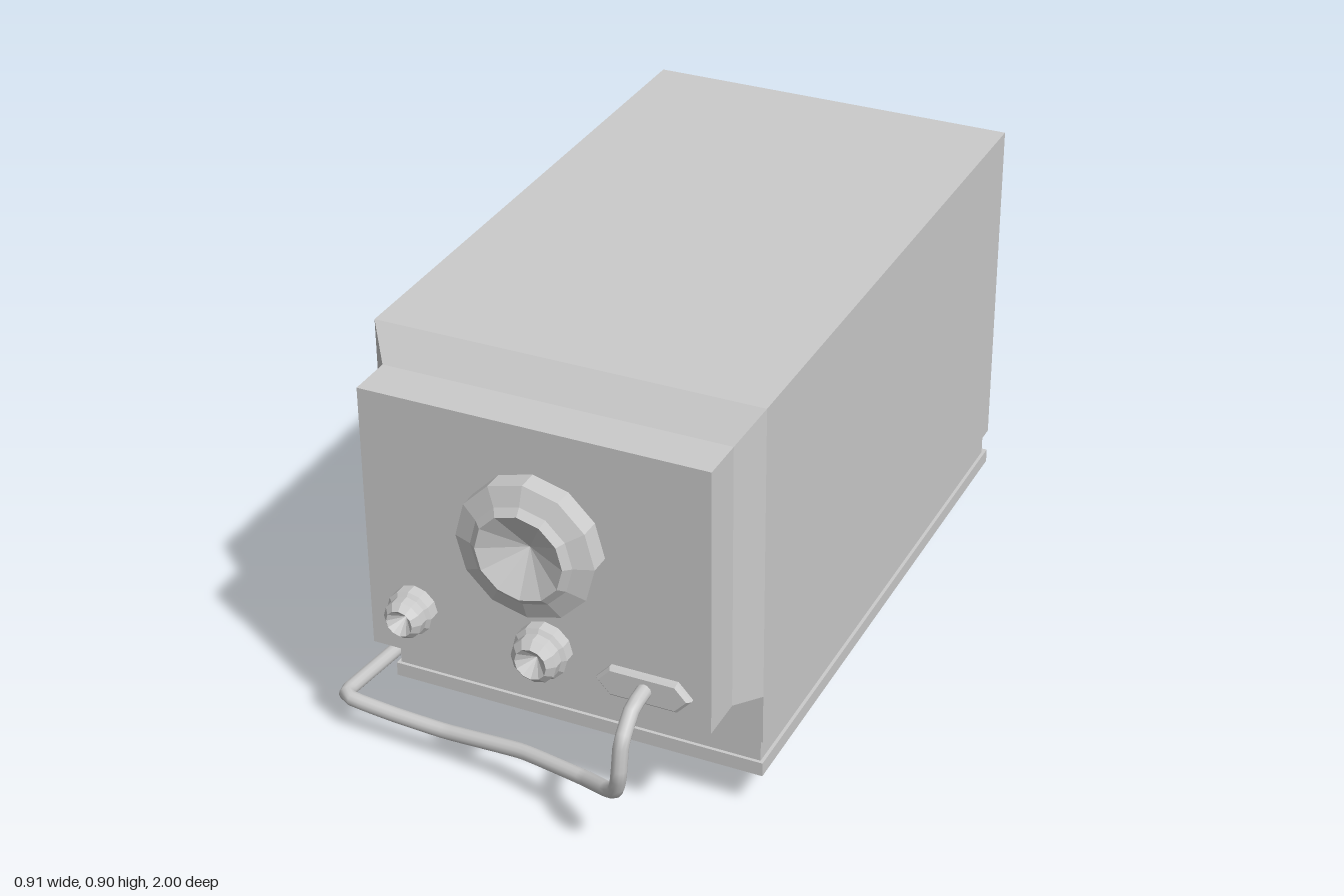
import * as THREE from 'three';

export function createModel() {
  const model = new THREE.Group();
  const mat = new THREE.MeshStandardMaterial({ color: 0xcccccc, flatShading: true });
  const smooth = new THREE.MeshStandardMaterial({ color: 0xcccccc });

  const add = (name, geo, material = mat) => {
    const mesh = new THREE.Mesh(geo, material);
    mesh.name = name;
    model.add(mesh);
    return mesh;
  };
  // Box given by its lower and upper corners
  const box = (name, x0, x1, y0, y1, z0, z1) => {
    const geo = new THREE.BoxGeometry(x1 - x0, y1 - y0, z1 - z0);
    geo.translate((x0 + x1) / 2, (y0 + y1) / 2, (z0 + z1) / 2);
    return add(name, geo);
  };

  // Cabinet on a base with a narrow recessed gap
  box('cabinet', -0.35, 0.45, 0.17, 0.905, -0.55, 0.72);
  box('baseGap', -0.343, 0.443, 0.12, 0.17, -0.535, 0.713);
  box('base', -0.35, 0.45, 0.09, 0.12, -0.55, 0.72);

  // Bevelled shoulder: front edge drawn in at the sides and top only
  const shoulder = box('frontBevel', -0.35, 0.45, 0.277, 0.905, 0.72, 0.77);
  const p = shoulder.geometry.attributes.position;
  for (let i = 0; i < p.count; i++) {
    if (p.getZ(i) < 0.75) continue;
    p.setX(i, p.getX(i) < 0 ? -0.308 : 0.408);
    if (p.getY(i) > 0.5) p.setY(i, 0.843);
  }
  shoulder.geometry.computeVertexNormals();
  box('frontPanel', -0.308, 0.408, 0.277, 0.843, 0.77, 0.865);

  // Round fittings with a dished face, turned to face the front
  const fitting = (name, x, y, profile) => {
    const geo = new THREE.LatheGeometry(profile.map(([r, h]) => new THREE.Vector2(r, h)), 12);
    geo.rotateX(Math.PI / 2);
    add(name, geo).position.set(x, y, 0.865);
  };
  fitting('dial', 0.053, 0.605,
    [[0.143, 0], [0.143, 0.042], [0.105, 0.056], [0.09, 0.068], [0, 0.02]]);
  const knob = [[1, 0], [1, 0.024], [0.84, 0.03], [0.84, 0.05], [0.58, 0.064], [0, 0.035]];
  for (const [name, x, y, r] of [['leftKnob', 0.068, 0.373, 0.057], ['rightKnob', -0.21, 0.385, 0.048]]) {
    fitting(name, x, y, knob.map(([k, h]) => [k * r, h]));
  }

  // Six-sided socket plate with a bevelled rim
  const hex = new THREE.Shape([
    [-0.09, 0], [-0.066, -0.026], [0.066, -0.026], [0.09, 0], [0.066, 0.026], [-0.066, 0.026],
  ].map(([x, y]) => new THREE.Vector2(x, y)));
  const plate = new THREE.ExtrudeGeometry(hex, {
    depth: 0.008, bevelThickness: 0.006, bevelSize: 0.006, bevelSegments: 1,
  });
  add('socketPlate', plate).position.set(0.274, 0.343, 0.866);

  // Cable: out of the socket, round the corner and back along the side
  const path = [
    [0.278, 0.345, 0.865], [0.278, 0.338, 0.93], [0.278, 0.29, 0.977], [0.275, 0.22, 0.984],
    [0.262, 0.175, 0.97], [0.235, 0.15, 0.948], [0.16, 0.12, 0.9], [0, 0.098, 0.85],
    [-0.18, 0.072, 0.825], [-0.3, 0.073, 0.82], [-0.4, 0.079, 0.815], [-0.424, 0.076, 0.785],
    [-0.432, 0.018, 0.36], [-0.441, 0.018, 0], [-0.438, 0.055, -0.3], [-0.425, 0.1, -0.55],
    [-0.41, 0.135, -0.7], [-0.39, 0.135, -0.87], [-0.365, 0.083, -0.994],
  ].map((c) => new THREE.Vector3(...c));
  const curve = new THREE.CatmullRomCurve3(path, false, 'catmullrom', 0.2);
  add('cable', new THREE.TubeGeometry(curve, 120, 0.0155, 12), smooth);
  const end = add('cableEnd', new THREE.CircleGeometry(0.0155, 12), smooth);
  end.position.copy(path.at(-1));
  end.lookAt(path.at(-1).clone().add(curve.getTangent(1)));

  return model;
}
